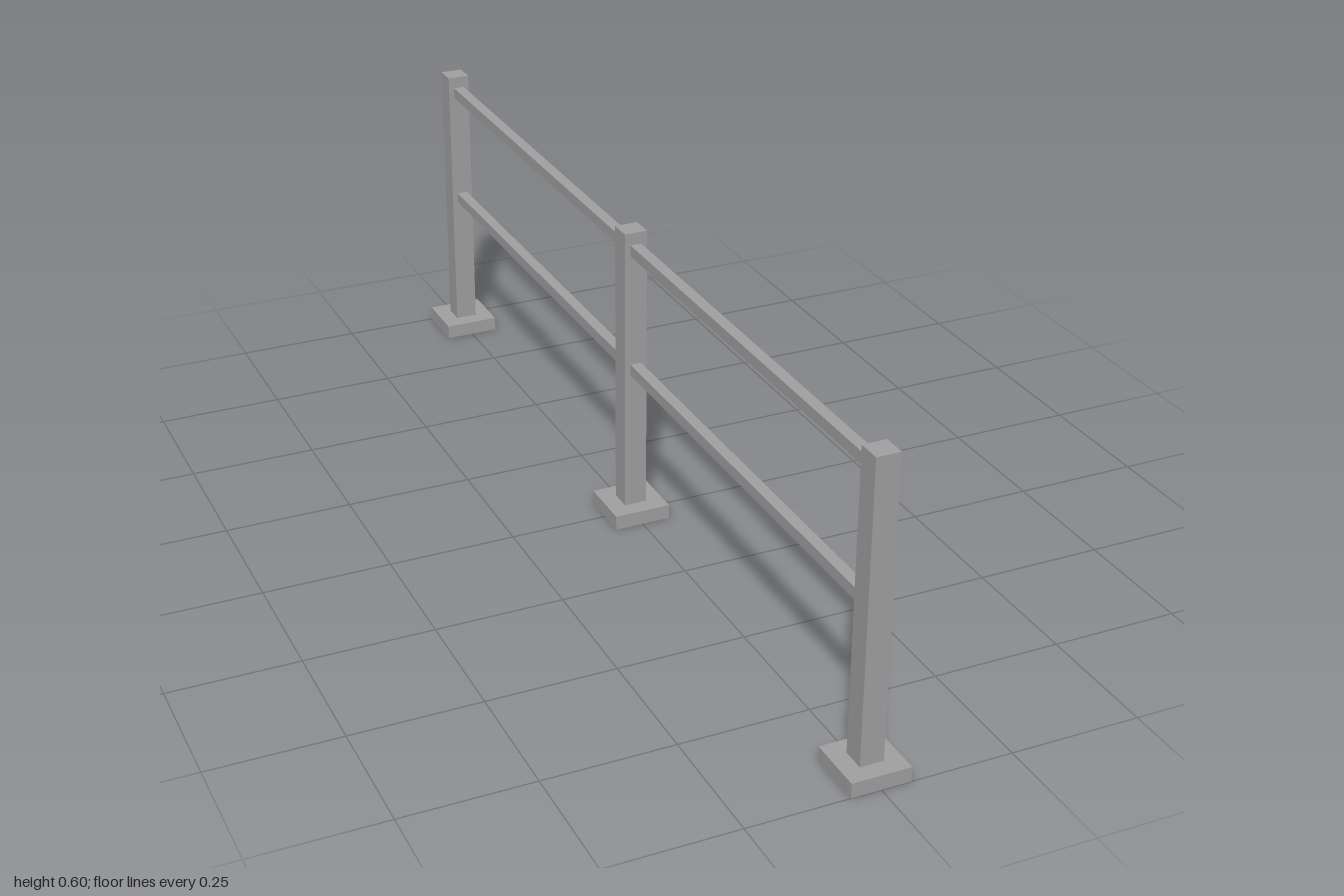
import * as THREE from 'three';

export function createModel() {
  const model = new THREE.Group();
  model.name = 'railing';
  const steel = new THREE.MeshStandardMaterial({ color: 0xa0a0a0 });
  steel.name = 'grey steel';

  const addBox = (parent, name, w, h, d, y, z) => {
    const mesh = new THREE.Mesh(new THREE.BoxGeometry(w, h, d), steel);
    mesh.name = name;
    mesh.position.set(0, y, z);
    parent.add(mesh);
  };

  const BASE = 0.113, BASE_H = 0.029, POST = 0.045, TOP = 0.605, RAIL = 0.022;
  const END = 1 - BASE / 2;

  // Three square posts, each on a base plate
  for (const [name, z] of [['front', END], ['middle', 0], ['back', -END]]) {
    const support = new THREE.Group();
    support.name = name + 'Support';
    support.position.z = z;
    addBox(support, 'basePlate', BASE, BASE_H, BASE, BASE_H / 2, 0);
    addBox(support, 'post', POST, TOP - BASE_H, POST, (TOP + BASE_H) / 2, 0);
    model.add(support);
  }

  // Two rails in each bay, running between the post faces
  const span = END - POST;
  for (const [side, s] of [['front', 1], ['back', -1]]) {
    addBox(model, side + 'TopRail', RAIL, RAIL, span, 0.57, s * END / 2);
    addBox(model, side + 'MiddleRail', RAIL, RAIL, span, 0.323, s * END / 2);
  }
  return model;
}
